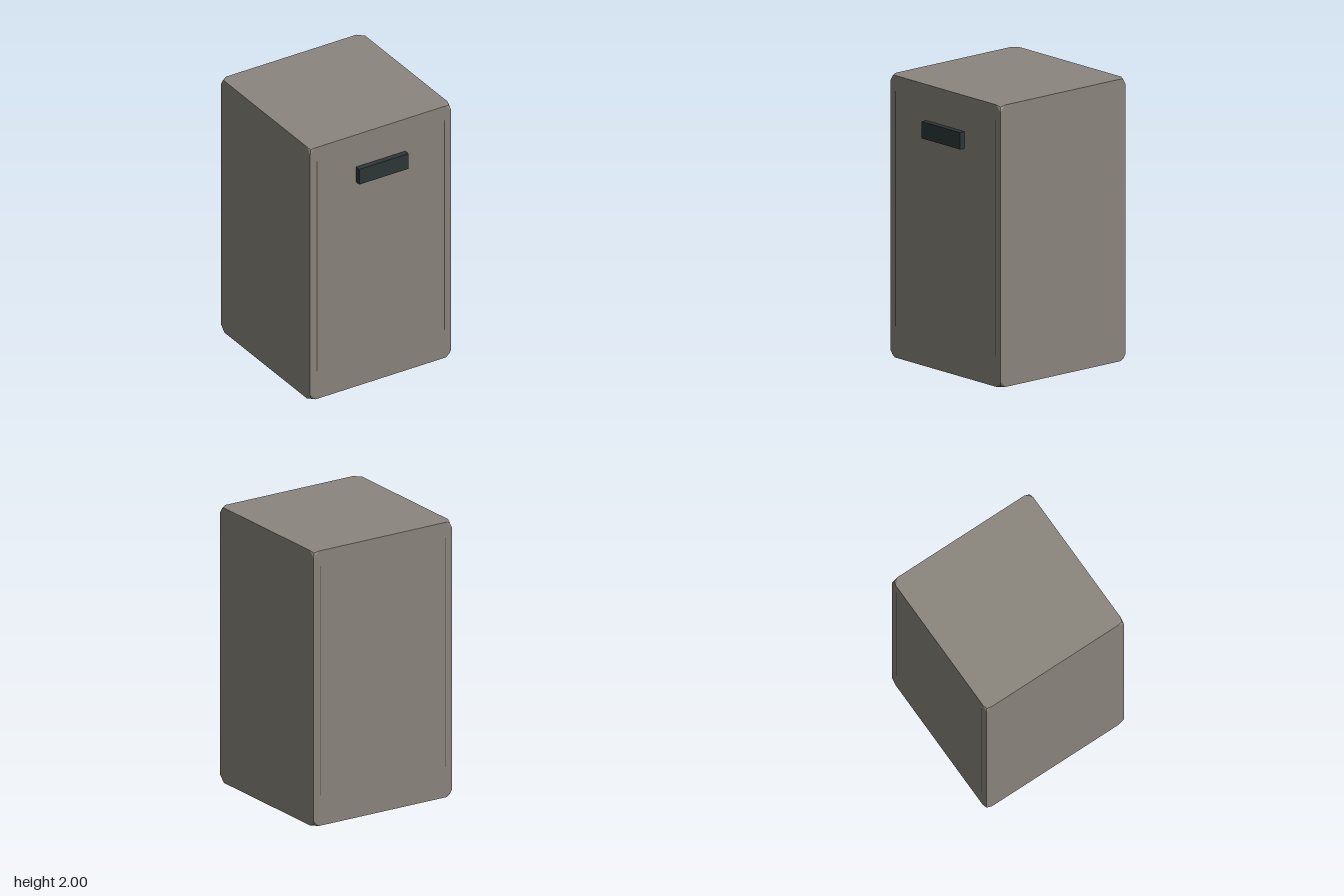
import * as THREE from 'three';
import { ConvexGeometry } from 'three/addons/geometries/ConvexGeometry.js';

const WIDTH = 1.144, HEIGHT = 2, BACK = -0.592, FRONT = 0.55;

// Box with crisp edges whose eight corners are eased off.
function easedBox(w, h, d, cut, bulge) {
  const points = [];
  for (const sx of [-1, 1]) for (const sy of [-1, 1]) for (const sz of [-1, 1]) {
    const add = (ix, iy, iz) => points.push(
      new THREE.Vector3(sx * (w / 2 - ix), sy * (h / 2 - iy), sz * (d / 2 - iz)));
    add(cut, 0, 0);
    add(0, cut, 0);
    add(0, 0, cut);
    add(bulge, bulge, bulge);
  }
  return new ConvexGeometry(points);
}

export function createModel() {
  const model = new THREE.Group();
  model.name = 'cabinet';

  const make = (name, color) => {
    const m = new THREE.MeshStandardMaterial({ color });
    m.name = name;
    return m;
  };
  const shell = make('warm grey shell', 0x8a857d);
  const dark = make('dark slate', 0x2d3636);
  const seamColor = make('dark seam', 0x4c4640);

  const add = (name, geometry, material, x, y, z) => {
    const mesh = new THREE.Mesh(geometry, material);
    mesh.name = name;
    mesh.position.set(x, y, z);
    model.add(mesh);
  };

  // Main body
  add('body', easedBox(WIDTH, HEIGHT, FRONT - BACK, 0.045, 0.011), shell,
    0, HEIGHT / 2, (FRONT + BACK) / 2);

  // Handle on the upper front
  add('handle', new THREE.BoxGeometry(0.4, 0.12, 0.046), dark, 0, 1.685, 0.569);

  // Fine vertical seams near the sides, front and back
  const seam = new THREE.BoxGeometry(0.006, 1.67, 0.002);
  for (const [side, x] of [['left', 0.517], ['right', -0.517]]) {
    add(side + 'FrontSeam', seam, seamColor, x, 1.055, FRONT);
    add(side + 'BackSeam', seam, seamColor, x, 1.055, BACK);
  }

  return model;
}
